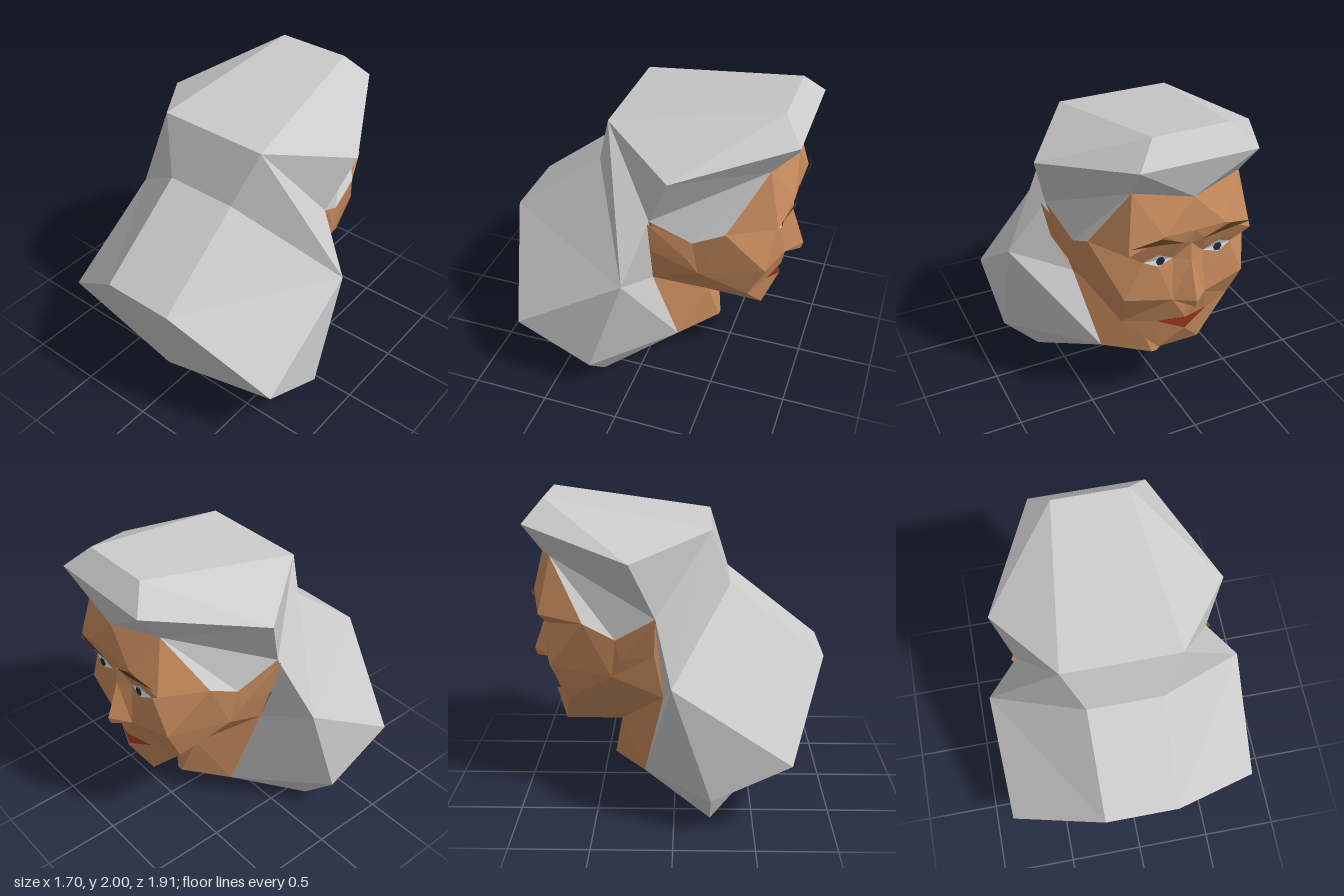
import * as THREE from 'three';

// Corner points of the model's left half; a trailing "-" means the mirrored point
const P = {
  // hair
  A: [0.37, 1.83, 0.23], B: [0.24, 2, -0.81], C: [0.37, 1.86, -0.93], D: [0.73, 1.7, -0.26],
  E: [0.24, 1.46, 0.35], F: [0.24, 0.98, 0.96], G: [0.85, 0.98, -0.01], H: [0.85, 0.49, 0.72],
  J: [0, 0.25, 0.72], K: [0.85, 0.25, 0.23], L: [0.61, 0, 0.23], M: [0.3, 0.18, -0.2],
  P: [0.35, 0.05, 0.15],
  // hairline
  N: [0.62, 1.34, -0.11], Q: [0.345, 1.66, -0.77], R: [0.53, 1.28, -0.56],
  S: [0.545, 1.18, -0.36], T: [0, 1.61, -0.87],
};
const FACE = {
  // brow and eye
  O: [0, 1.4, -0.89], m: [0.2, 1.41, -0.9], W: [0.4, 1.3, -0.85], g: [0, 1.3, -0.86],
  b: [0.08, 1.33, -0.88], et: [0.2, 1.25, -0.83], eb: [0.2, 1.17, -0.83],
  eo: [0.29, 1.21, -0.81], ei: [0.1, 1.2, -0.82],
  // nose
  nb: [0, 1.18, -0.865], nt: [0, 0.94, -0.95], np: [0, 0.89, -0.935],
  k: [0.11, 0.92, -0.85], ns: [0, 0.885, -0.83],
  // mouth, cheek, jaw and neck
  ul: [0, 0.74, -0.82], mc: [0.17, 0.72, -0.76], mi: [0, 0.7, -0.77], ll: [0, 0.65, -0.81],
  V: [0.4, 0.96, -0.79], U: [0.37, 0.73, -0.68], X: [0.51, 0.93, -0.39],
  ch: [0.14, 0.49, -0.73], jn: [0.12, 0.48, -0.36], jb: [0.44, 0.76, -0.07],
  nf: [0.02, 0.18, -0.415],
  // ear
  e1: [0.65, 1.34, -0.11], e2: [0.6, 1.1, -0.12], e3: [0.55, 1.05, -0.33],
  // eyebrow
  a1: [0.06, 1.33, -0.89], a2: [0.22, 1.41, -0.915], a3: [0.4, 1.36, -0.87], a4: [0.22, 1.37, -0.91],
};
Object.assign(P, FACE);

const CENTER = new THREE.Vector3(0, 0.95, -0.3);

function point(name) {
  const mirrored = name.endsWith('-');
  const [x, y, z] = P[mirrored ? name.slice(0, -1) : name];
  return new THREE.Vector3(mirrored ? -x : x, y, z);
}

// Flat facets from named corners, turned outward; a face without "-" gets a mirrored twin
function facets(name, color, faces) {
  const out = [];
  const add = (corners) => {
    for (let i = 1; i < corners.length - 1; i++) {
      const t = [corners[0], corners[i], corners[i + 1]];
      const n = t[1].clone().sub(t[0]).cross(t[2].clone().sub(t[0]));
      const mid = t[0].clone().add(t[1]).add(t[2]).divideScalar(3).sub(CENTER);
      if (n.dot(mid) < 0) t.reverse();
      t.forEach((v) => out.push(v.x, v.y, v.z));
    }
  };
  for (const face of faces) {
    const corners = face.split(' ').map(point);
    add(corners);
    if (!face.includes('-')) add(corners.map((v) => new THREE.Vector3(-v.x, v.y, v.z)));
  }
  const geo = new THREE.BufferGeometry();
  geo.setAttribute('position', new THREE.Float32BufferAttribute(out, 3));
  geo.computeVertexNormals();
  const mat = new THREE.MeshStandardMaterial({ color, flatShading: true, side: THREE.DoubleSide });
  const mesh = new THREE.Mesh(geo, mat);
  mesh.name = name;
  return mesh;
}

export function createModel() {
  const model = new THREE.Group();
  model.name = 'head';
  const skin = 0xc68a5c;

  // Crown, back and shoulder-length mass of hair
  model.add(facets('hair', 0xcccccc, [
    'B B- A- A', 'C C- B- B', 'A A- E- E', 'E E- F- F', 'F F- J', 'J L L-',
    'B C D', 'B D A', 'A D N', 'A N G', 'A G E', 'E G F', 'F G H', 'F H J',
    'H J K', 'G H K', 'J K L', 'G K M', 'K L M', 'G N jb', 'G jb M',
  ]));
  // Overhanging fringe, sideburns and the closed underside
  model.add(facets('fringe', 0xcccccc, ['C C- T', 'C Q T', 'D C Q', 'D Q N', 'N Q S', 'Q R S']));
  model.add(facets('hairUnderside', 0xcccccc, ['L P P- L-', 'L M P', 'P M M- P-']));

  // Face
  model.add(facets('forehead', skin, [
    'T O m', 'T m Q', 'Q m W', 'Q W R', 'O b m', 'O b g', 'm b et', 'm et W', 'W et eo', 'b ei et',
  ]));
  model.add(facets('nose', skin, [
    'g b ei', 'g ei nb', 'nb ei k', 'nb k nt', 'nt k np', 'np k ns',
  ]));
  model.add(facets('cheeks', skin, [
    'W R eo', 'R V eo', 'V eo eb', 'V eb k', 'eb ei k', 'k V U', 'k U mc', 'ns k ul', 'k mc ul',
    'R V X', 'V U X', 'S R X', 'S N X', 'N jb X',
  ]));
  model.add(facets('jaw', skin, [
    'mc U ch', 'll mc ch', 'll ch ch-', 'X jb jn', 'U X jn', 'U jn ch', 'ch jn jn- ch-',
  ]));
  model.add(facets('neck', skin, ['jb M jn', 'M nf jn', 'jn nf nf- jn-', 'M nf nf- M-']));
  model.add(facets('ears', skin, ['e1 S e3 e2', 'e1 e2 jb', 'e2 e3 X', 'S e3 X']));
  model.add(facets('mouth', 0x7a2a14, ['ul mc mi', 'mi mc ll']));
  model.add(facets('eyebrows', 0x5a3c1c, ['a1 a2 a4', 'a2 a3 a4']));
  model.add(facets('eyeWhites', 0xe8e8e8, ['ei et eo eb']));

  // Irises looking toward the face side
  for (const side of [-1, 1]) {
    const iris = new THREE.Mesh(
      new THREE.CircleGeometry(0.03, 6),
      new THREE.MeshStandardMaterial({ color: 0x1c2440 }),
    );
    iris.rotation.y = Math.PI;
    iris.position.set(side * 0.19, 1.21, -0.836);
    iris.name = 'iris';
    model.add(iris);
  }
  return model;
}
